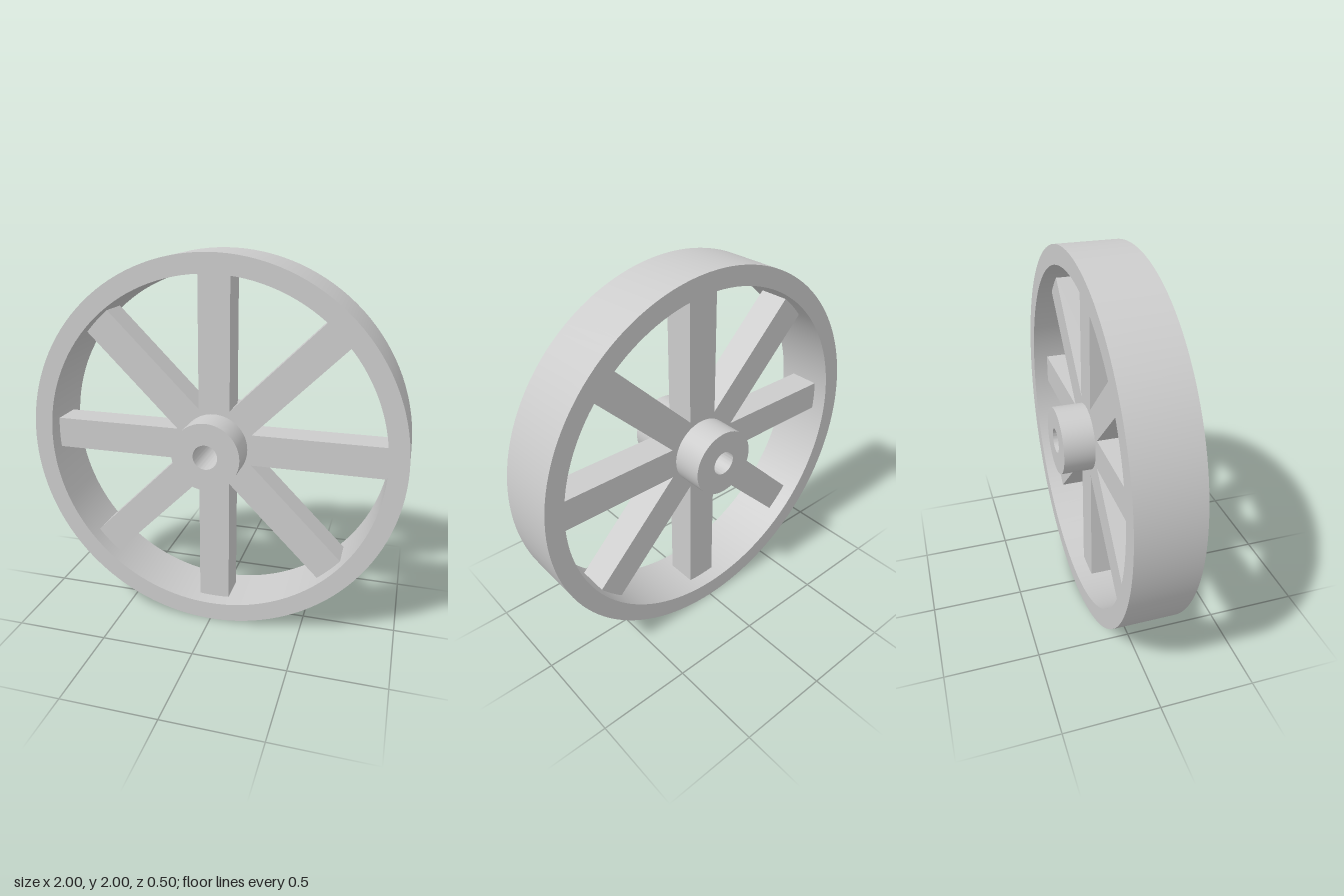
import * as THREE from 'three';
import { toCreasedNormals } from 'three/addons/utils/BufferGeometryUtils.js';

const RIM_OUTER = 1, RIM_INNER = 0.9, RIM_DEPTH = 0.333;
const HUB_RADIUS = 0.18, BORE_RADIUS = 0.065, HUB_DEPTH = 0.5;
const SPOKE_COUNT = 8, SPOKE_SIZE = 0.167;

// Square-edged ring around the z axis
function ring(inner, outer, depth, segments) {
  const h = depth / 2;
  const profile = [[inner, -h], [outer, -h], [outer, h], [inner, h], [inner, -h]]
    .map(([r, y]) => new THREE.Vector2(r, y));
  const geometry = new THREE.LatheGeometry(profile, segments);
  geometry.rotateX(Math.PI / 2);
  return toCreasedNormals(geometry, 0.6);
}

export function createModel() {
  const material = new THREE.MeshStandardMaterial({ color: 0xcccccc });
  const wheel = new THREE.Group();
  wheel.name = 'wheel';
  wheel.position.y = RIM_OUTER;

  const add = (name, geometry, parent = wheel) => {
    const mesh = new THREE.Mesh(geometry, material);
    mesh.name = name;
    parent.add(mesh);
    return mesh;
  };

  // Rim and bored hub
  add('rim', ring(RIM_INNER, RIM_OUTER, RIM_DEPTH, 128));
  add('hub', ring(BORE_RADIUS, HUB_RADIUS, HUB_DEPTH, 64));

  // Square spokes, seated slightly inside the hub and the rim
  const start = 0.12, end = RIM_INNER + 0.015;
  const spokeGeometry = new THREE.BoxGeometry(end - start, SPOKE_SIZE, SPOKE_SIZE);
  spokeGeometry.translate((start + end) / 2, 0, 0);
  const spokes = new THREE.Group();
  spokes.name = 'spokes';
  wheel.add(spokes);
  for (let i = 0; i < SPOKE_COUNT; i++) {
    add('spoke', spokeGeometry, spokes).rotation.z = (i / SPOKE_COUNT) * Math.PI * 2;
  }

  const model = new THREE.Group();
  model.name = 'spokedWheel';
  model.add(wheel);
  return model;
}
